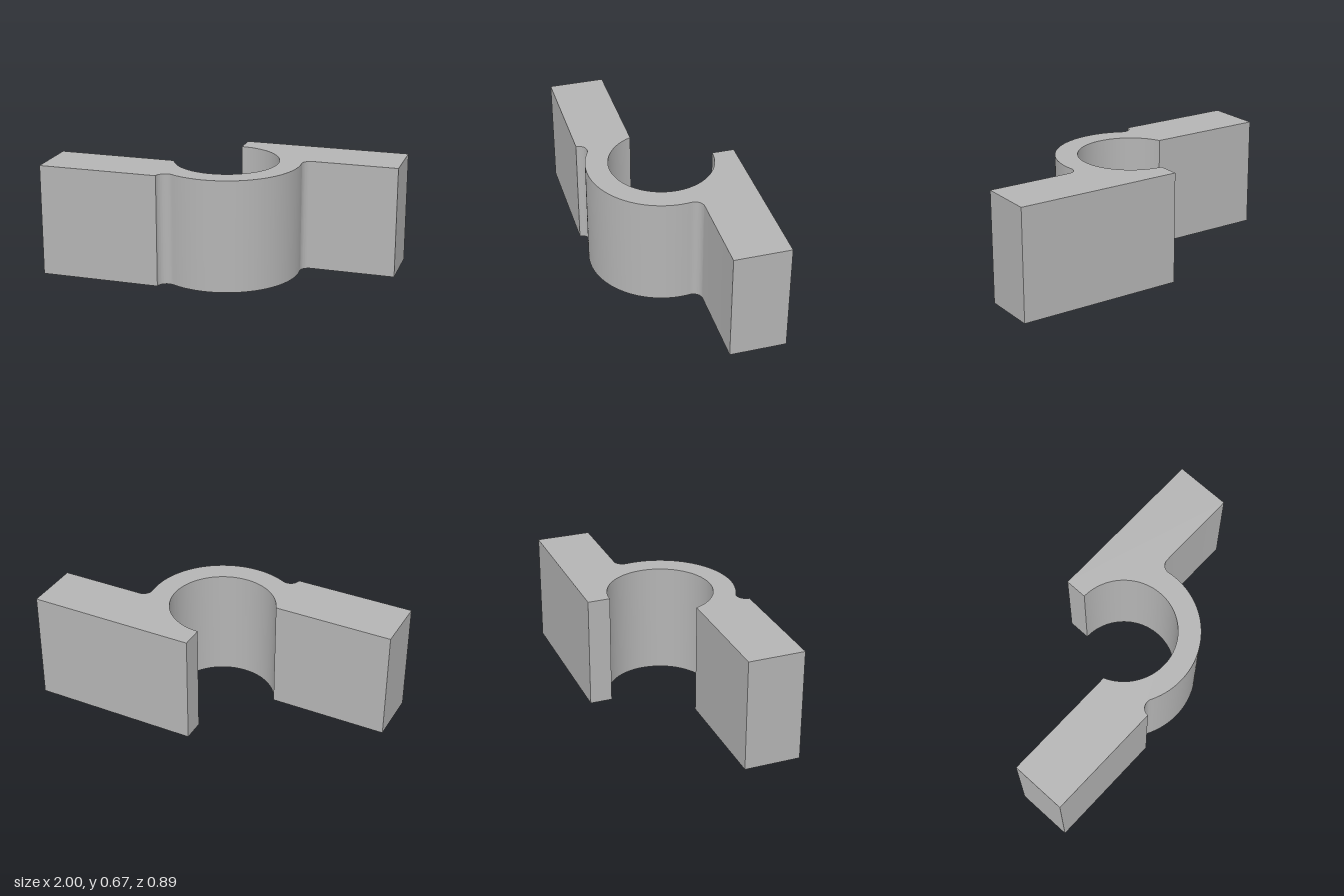
import * as THREE from 'three';
import { toCreasedNormals } from 'three/addons/utils/BufferGeometryUtils.js';

export function createModel() {
  const grey = new THREE.MeshStandardMaterial({ color: 0xb4b4b4 });
  grey.name = 'grey';

  const inner = 0.311;    // bore radius
  const outer = 0.444;    // outer radius of the curved wall
  const face = 0.111;     // offset of each arm's near face from the centre line
  const fillet = 0.0555;  // relief radius where the wall meets an arm
  const height = 0.667;

  // Relief circles touch the outer wall
  const reach = outer + fillet;
  const leftX = -Math.sqrt(reach ** 2 - outer ** 2);
  const leftAngle = Math.atan2(-outer, leftX);
  const rightV = face - fillet;
  const rightX = Math.sqrt(reach ** 2 - rightV ** 2);
  const rightAngle = Math.atan2(rightV, rightX);

  // Plan outline, seen from above (second coordinate points to the back)
  const plan = new THREE.Shape();
  plan.moveTo(0, outer);
  plan.lineTo(0, inner);
  plan.absarc(0, 0, inner, Math.PI / 2, -Math.PI + Math.asin(face / inner), true); // bore
  plan.lineTo(-1, -face);
  plan.lineTo(-1, -outer);
  plan.lineTo(leftX - fillet, -outer);
  plan.absarc(leftX, -outer, fillet, Math.PI, leftAngle + Math.PI, true);          // front relief
  plan.absarc(0, 0, outer, leftAngle, rightAngle, false);                          // outer wall
  plan.absarc(rightX, rightV, fillet, rightAngle + Math.PI, Math.PI / 2, true);    // side relief
  plan.lineTo(1, face);
  plan.lineTo(1, outer);
  plan.closePath();

  // Extrude upwards, smooth curves and sharp corners
  const geometry = new THREE.ExtrudeGeometry(plan, { depth: height, bevelEnabled: false, curveSegments: 48 });
  geometry.rotateX(-Math.PI / 2);

  const bracket = new THREE.Mesh(toCreasedNormals(geometry, Math.PI / 7), grey);
  bracket.name = 'hookBracket';

  const group = new THREE.Group();
  group.name = 'bracket';
  group.add(bracket);
  return group;
}
